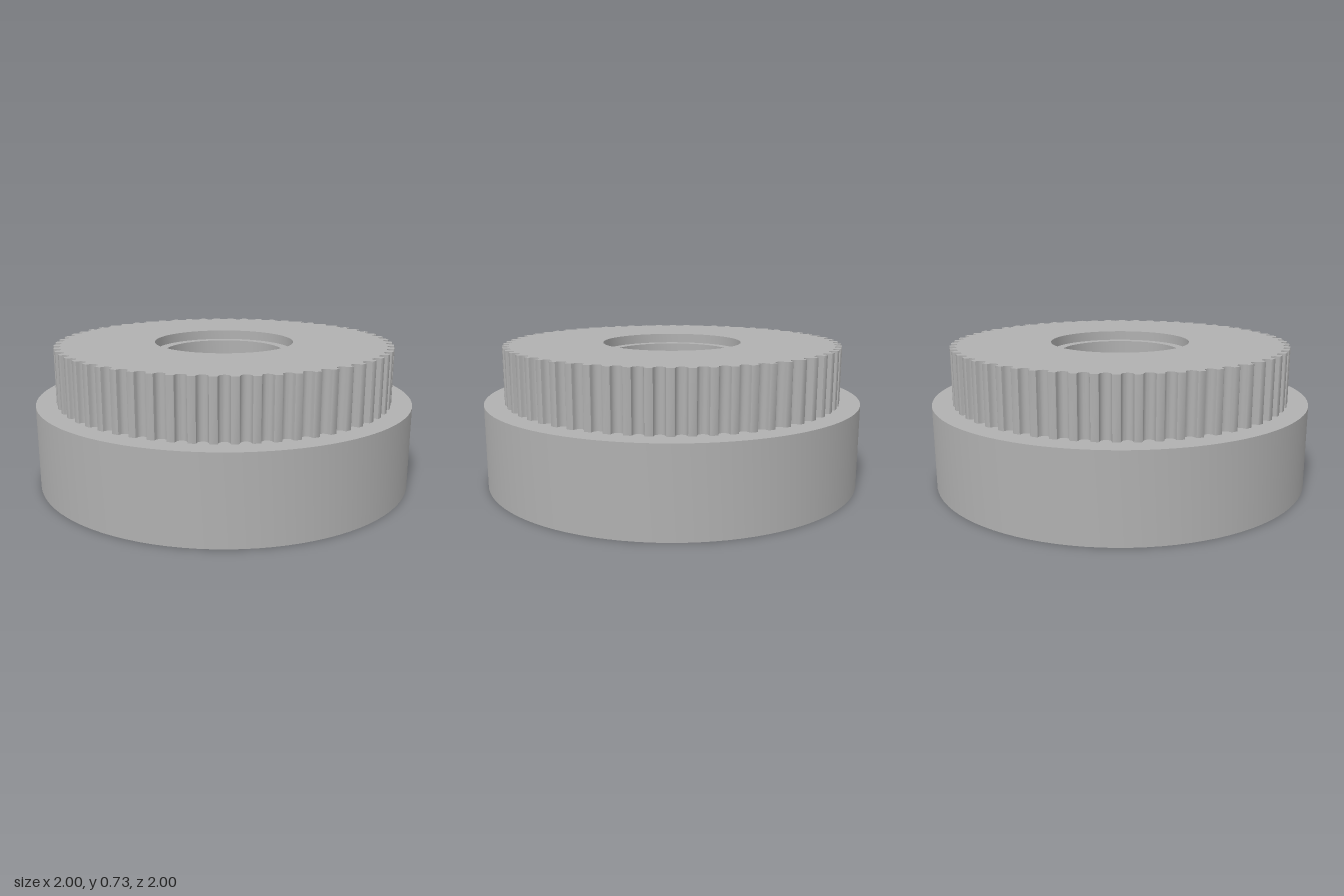
import * as THREE from 'three';
import { toCreasedNormals } from 'three/addons/utils/BufferGeometryUtils.js';

const SEGMENTS = 96, TEETH = 60;
const HEIGHT = 0.73, FLANGE_TOP = 0.435;
const RIM_R = 1, STEP_R = 0.37, SEAT_R = 0.315, BORE_R = 0.185;
const BOLT_R = 0.062, BOLT_CIRCLE = 0.665, BOLT_DEPTH = 0.3;

function circle(r, n = SEGMENTS, cx = 0, cy = 0) {
  return Array.from({ length: n }, (_, i) => {
    const a = (i / n) * Math.PI * 2;
    return new THREE.Vector2(cx + r * Math.cos(a), cy + r * Math.sin(a));
  });
}

// Revolved surface with crisp corners
function revolve(profile, segments = SEGMENTS) {
  const points = profile.map(([r, y]) => new THREE.Vector2(r, y));
  return toCreasedNormals(new THREE.LatheGeometry(points, segments), 0.6);
}

// Flat horizontal face with holes, looking up or down
function face(outline, holes, y, up) {
  const shape = new THREE.Shape(outline);
  holes.forEach((h) => shape.holes.push(new THREE.Path(h)));
  const g = new THREE.ShapeGeometry(shape);
  g.rotateX(up ? -Math.PI / 2 : Math.PI / 2);
  return g.translate(0, y, 0);
}

// Belt pulley outline: round-bottomed grooves between narrow lands
function toothOutline() {
  const groove = [[-0.033, 0.894], [-0.028, 0.891]];
  for (let i = 0; i <= 10; i++) {
    const t = Math.PI + (i / 10) * Math.PI;
    groove.push([0.0264 * Math.cos(t), 0.885 + 0.0264 * Math.sin(t)]);
  }
  groove.push([0.028, 0.891], [0.033, 0.894]);
  const points = [];
  for (let k = 0; k < TEETH; k++) {
    const a = (k / TEETH) * Math.PI * 2, c = Math.cos(a), s = Math.sin(a);
    groove.forEach(([u, v]) => points.push(new THREE.Vector2(v * c - u * s, v * s + u * c)));
  }
  return points;
}

// Vertical wall following a closed outline
function wall(outline, y0, y1) {
  const pos = [];
  outline.forEach((p, i) => {
    const q = outline[(i + 1) % outline.length];
    pos.push(p.x, y0, -p.y, q.x, y0, -q.y, q.x, y1, -q.y);
    pos.push(p.x, y0, -p.y, q.x, y1, -q.y, p.x, y1, -p.y);
  });
  const g = new THREE.BufferGeometry();
  g.setAttribute('position', new THREE.Float32BufferAttribute(pos, 3));
  return toCreasedNormals(g, 0.6);
}

export function createModel() {
  const model = new THREE.Group();
  model.name = 'toothedPulley';
  const metal = new THREE.MeshStandardMaterial({ color: 0xb0b0b0 });
  metal.name = 'grey metal';
  const add = (name, geometry) => {
    const mesh = new THREE.Mesh(geometry, metal);
    mesh.name = name;
    model.add(mesh);
    return mesh;
  };

  // Flange rim and its upper ledge
  add('flange', revolve([[RIM_R, 0], [RIM_R, FLANGE_TOP], [0.855, FLANGE_TOP]]));

  // Toothed ring
  const teeth = toothOutline();
  add('teeth', wall(teeth, FLANGE_TOP, HEIGHT));
  add('topFace', face(teeth, [circle(STEP_R)], HEIGHT, true));

  // Stepped bore with a bearing seat at each end
  add('bore', revolve([
    [STEP_R, HEIGHT], [STEP_R, 0.68], [SEAT_R, 0.68], [SEAT_R, 0.49], [BORE_R, 0.49],
    [BORE_R, 0.24], [SEAT_R, 0.24], [SEAT_R, 0.05], [STEP_R, 0.05], [STEP_R, 0],
  ]));

  // Underside with four blind bolt holes
  const openings = [circle(STEP_R)];
  for (let i = 0; i < 4; i++) {
    const a = Math.PI / 4 + (i * Math.PI) / 2;
    const x = BOLT_CIRCLE * Math.cos(a), z = BOLT_CIRCLE * Math.sin(a);
    openings.push(circle(BOLT_R, 32, x, z));
    add('boltHole', revolve([[0, BOLT_DEPTH], [BOLT_R, BOLT_DEPTH], [BOLT_R, 0]], 32))
      .position.set(x, 0, z);
  }
  add('underside', face(circle(RIM_R), openings, 0, false));

  return model;
}
